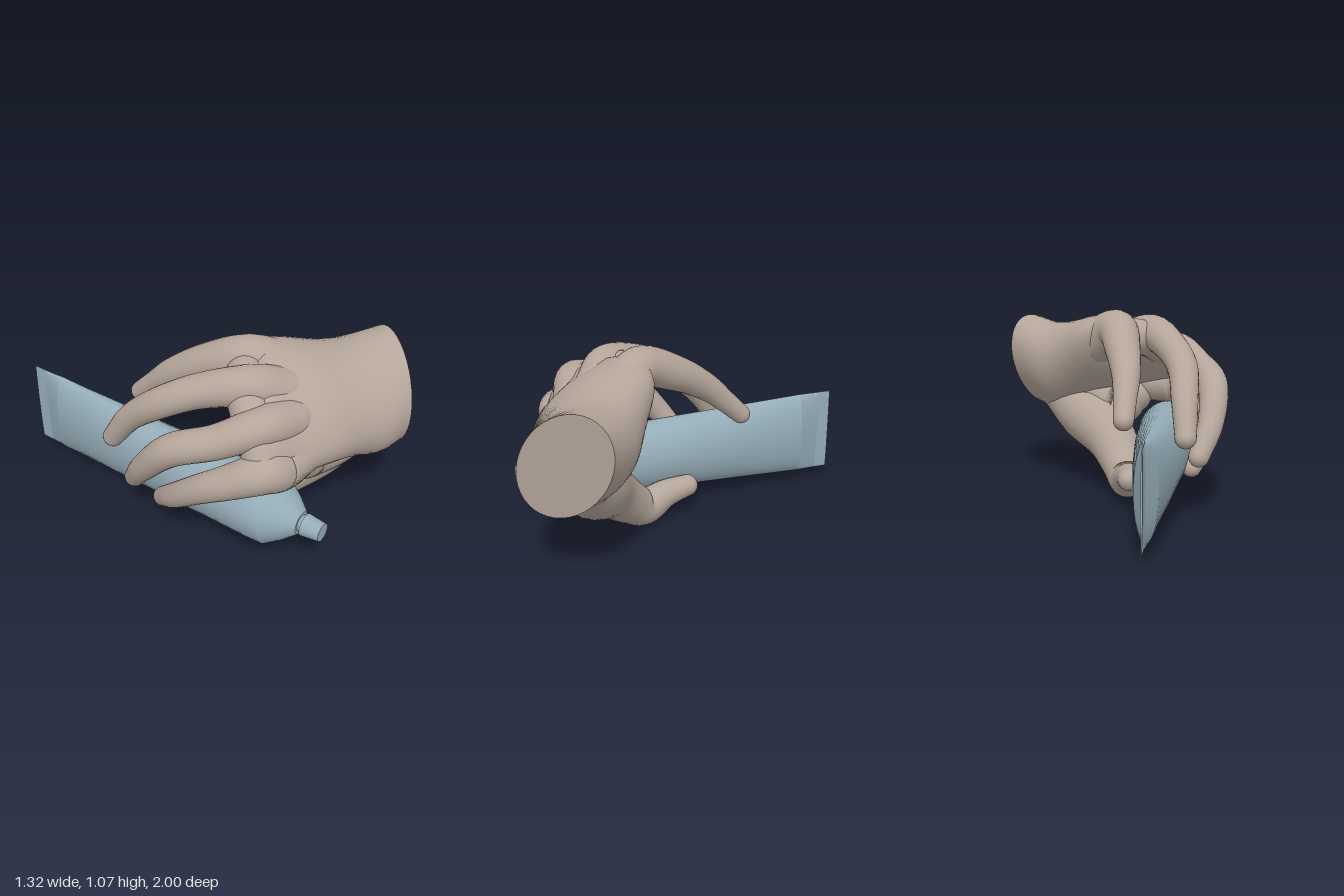
import * as THREE from 'three';

const V = (x, y, z) => new THREE.Vector3(x, y, z);
const spline = (pts) => new THREE.CatmullRomCurve3(pts, false, 'catmullrom', 0.5);

// Skin a list of rings (equal counts of points), closing both ends with flat caps
function loft(rings) {
  const n = rings[0].length, pos = [], idx = [];
  rings.forEach((ring) => ring.forEach((p) => pos.push(p.x, p.y, p.z)));
  for (let i = 0; i < rings.length - 1; i++) {
    for (let j = 0; j < n; j++) {
      const a = i * n + j, b = i * n + (j + 1) % n;
      idx.push(a, b, a + n, b, b + n, a + n);
    }
  }
  [rings[0], rings[rings.length - 1]].forEach((ring, end) => {
    const base = pos.length / 3;
    const mid = ring.reduce((s, p) => s.add(p), V(0, 0, 0)).divideScalar(n);
    [...ring, mid].forEach((p) => pos.push(p.x, p.y, p.z));
    for (let j = 0; j < n; j++) {
      const a = base + j, b = base + (j + 1) % n;
      if (end) idx.push(a, b, base + n);
      else idx.push(b, a, base + n);
    }
  });
  // Turn the faces outward if the enclosed volume comes out negative
  const at = (i) => V(pos[3 * i], pos[3 * i + 1], pos[3 * i + 2]);
  let volume = 0;
  for (let i = 0; i < idx.length; i += 3) {
    volume += at(idx[i]).dot(at(idx[i + 1]).cross(at(idx[i + 2])));
  }
  if (volume < 0) idx.reverse();
  const geo = new THREE.BufferGeometry();
  geo.setAttribute('position', new THREE.Float32BufferAttribute(pos, 3));
  geo.setIndex(idx);
  geo.computeVertexNormals();
  return geo;
}

// Closed ring around c; u and v are half axes, back scales the -v half
function ring(c, u, v, n, back = 1) {
  return Array.from({ length: n }, (_, j) => {
    const a = (j / n) * Math.PI * 2, s = Math.sin(a);
    return c.clone().addScaledVector(u, Math.cos(a)).addScaledVector(v, s < 0 ? s * back : s);
  });
}

// Round limb through [x, y, z, radius] points, domed at both ends
function limb(points) {
  const path = spline(points.map((p) => V(p[0], p[1], p[2])));
  const radius = spline(points.map((p) => V(p[3], 0, 0)));
  const rings = [], steps = 8 * (points.length - 1);
  const add = (t, angle) => {
    const r = radius.getPoint(t).x, tan = path.getTangent(t);
    const u = V(1, 0, 0).cross(tan).normalize(), v = tan.clone().cross(u);
    const scale = r * Math.cos(angle);
    rings.push(ring(path.getPoint(t).addScaledVector(tan, r * Math.sin(angle)),
      u.multiplyScalar(scale), v.multiplyScalar(scale), 24));
  };
  const dome = (k) => (k / 6) * Math.PI * 0.49;
  for (let k = -6; k < 0; k++) add(0, dome(k));
  for (let i = 0; i <= steps; i++) add(i / steps, 0);
  for (let k = 1; k <= 6; k++) add(1, dome(k));
  return loft(rings);
}

// Palm sections: centre, half width (towards the index side), half thickness (towards the back of the hand)
const PALM = [
  [V(0.52, 0.71, 0.79), V(0.06, 0.285, -0.05), V(-0.13, 0, 0.2)],
  [V(0.34, 0.68, 0.67), V(0.06, 0.275, -0.12), V(-0.09, 0.06, 0.25)],
  [V(0.1, 0.75, 0.54), V(0.08, 0.23, -0.26), V(-0.05, 0.14, 0.17)],
  [V(-0.1, 0.79, 0.49), V(0.14, 0.22, -0.23), V(-0.03, 0.11, 0.1)],
  [V(-0.23, 0.81, 0.46), V(0.2, 0.17, -0.18), V(-0.03, 0.09, 0.08)],
  [V(-0.29, 0.8, 0.42), V(0.17, 0.13, -0.15), V(-0.02, 0.05, 0.04)],
];

function palm() {
  const [c, w, t] = [0, 1, 2].map((k) => spline(PALM.map((s) => s[k])));
  const rings = [];
  for (let i = 0; i <= 40; i++) {
    const f = i / 40;
    const back = 1 - 0.35 * THREE.MathUtils.smoothstep(f, 0.15, 0.6);
    rings.push(ring(c.getPoint(f), w.getPoint(f), t.getPoint(f), 40, back));
  }
  return loft(rings);
}

// Digits run from their roots inside the palm to the tips; the webs fill between them
const LIMBS = {
  indexFinger: [[0.28, 0.8, 0.54, 0.14], [0.13, 0.86, 0.41, 0.135], [-0.02, 0.955, 0.26, 0.115],
    [-0.085, 0.875, 0.04, 0.096], [-0.125, 0.765, -0.14, 0.077], [-0.135, 0.66, -0.26, 0.062],
    [-0.14, 0.565, -0.36, 0.054]],
  middleFinger: [[0.05, 0.82, 0.55, 0.11], [-0.08, 0.88, 0.47, 0.115], [-0.21, 0.93, 0.38, 0.105],
    [-0.325, 0.885, 0.18, 0.09], [-0.41, 0.79, 0, 0.082], [-0.435, 0.64, -0.18, 0.07],
    [-0.45, 0.47, -0.3, 0.056]],
  ringFinger: [[0, 0.74, 0.62, 0.1], [-0.18, 0.79, 0.58, 0.11], [-0.34, 0.82, 0.53, 0.1],
    [-0.47, 0.75, 0.38, 0.088], [-0.565, 0.67, 0.18, 0.084], [-0.565, 0.49, 0.01, 0.07],
    [-0.51, 0.33, -0.11, 0.056]],
  littleFinger: [[0.05, 0.64, 0.68, 0.1], [-0.15, 0.61, 0.66, 0.11], [-0.3, 0.605, 0.64, 0.115],
    [-0.42, 0.635, 0.61, 0.105], [-0.5, 0.57, 0.48, 0.088], [-0.54, 0.48, 0.33, 0.075],
    [-0.525, 0.35, 0.17, 0.066], [-0.465, 0.235, 0.04, 0.054]],
  thumb: [[0.36, 0.56, 0.68, 0.15], [0.2, 0.43, 0.58, 0.175], [0.04, 0.3, 0.46, 0.15],
    [-0.05, 0.17, 0.33, 0.122], [-0.09, 0.105, 0.23, 0.105], [-0.115, 0.15, 0.1, 0.08],
    [-0.13, 0.173, -0.035, 0.062]],
  thumbWeb: [[0.34, 0.59, 0.68, 0.19], [0.16, 0.53, 0.64, 0.18], [0.02, 0.47, 0.59, 0.14],
    [-0.08, 0.53, 0.61, 0.11]],
  knuckleWeb: [[-0.04, 0.925, 0.27, 0.1], [-0.19, 0.9, 0.35, 0.1], [-0.32, 0.79, 0.5, 0.1],
    [-0.4, 0.655, 0.6, 0.09]],
};

// Tube sections along z: [z, half width, half height]
const TUBE = {
  cap: [[0.9, 0.048, 0.048], [0.8, 0.06, 0.06]],
  neck: [[0.81, 0.045, 0.045], [0.76, 0.045, 0.045]],
  shoulder: [[0.78, 0.06, 0.06], [0.765, 0.075, 0.075], [0.7, 0.13, 0.13], [0.63, 0.178, 0.178]],
  body: [[0.63, 0.178, 0.178], [0.55, 0.18, 0.182], [0.1, 0.155, 0.204], [-0.4, 0.11, 0.228], [-0.8, 0.06, 0.247]],
  crimp: [[-0.8, 0.06, 0.247], [-0.92, 0.012, 0.248], [-0.93, 0.005, 0.248], [-1, 0.005, 0.248]],
};

export function createModel() {
  const model = new THREE.Group();
  const skin = new THREE.MeshStandardMaterial({ color: 0xb5a69a });
  const paint = new THREE.MeshStandardMaterial({ color: 0x95adb8 });
  const group = (name) => {
    const g = new THREE.Group();
    g.name = name;
    model.add(g);
    return g;
  };
  const put = (parent, name, geo, mat) => {
    const m = new THREE.Mesh(geo, mat);
    m.name = name;
    parent.add(m);
  };

  // Hand with cut wrist, four curled fingers and the thumb beneath
  const hand = group('hand');
  put(hand, 'palm', palm(), skin);
  for (const [name, pts] of Object.entries(LIMBS)) put(hand, name, limb(pts), skin);

  // Squeeze tube, round at the cap and pressed flat at the far end
  const tube = group('squeezeTube');
  for (const [name, rows] of Object.entries(TUBE)) {
    const rings = rows.map(([z, w, h]) => ring(V(-0.3, 0.318, z), V(w, 0, 0), V(0, h, 0), 40));
    put(tube, name, loft(rings), paint);
  }
  return model;
}
